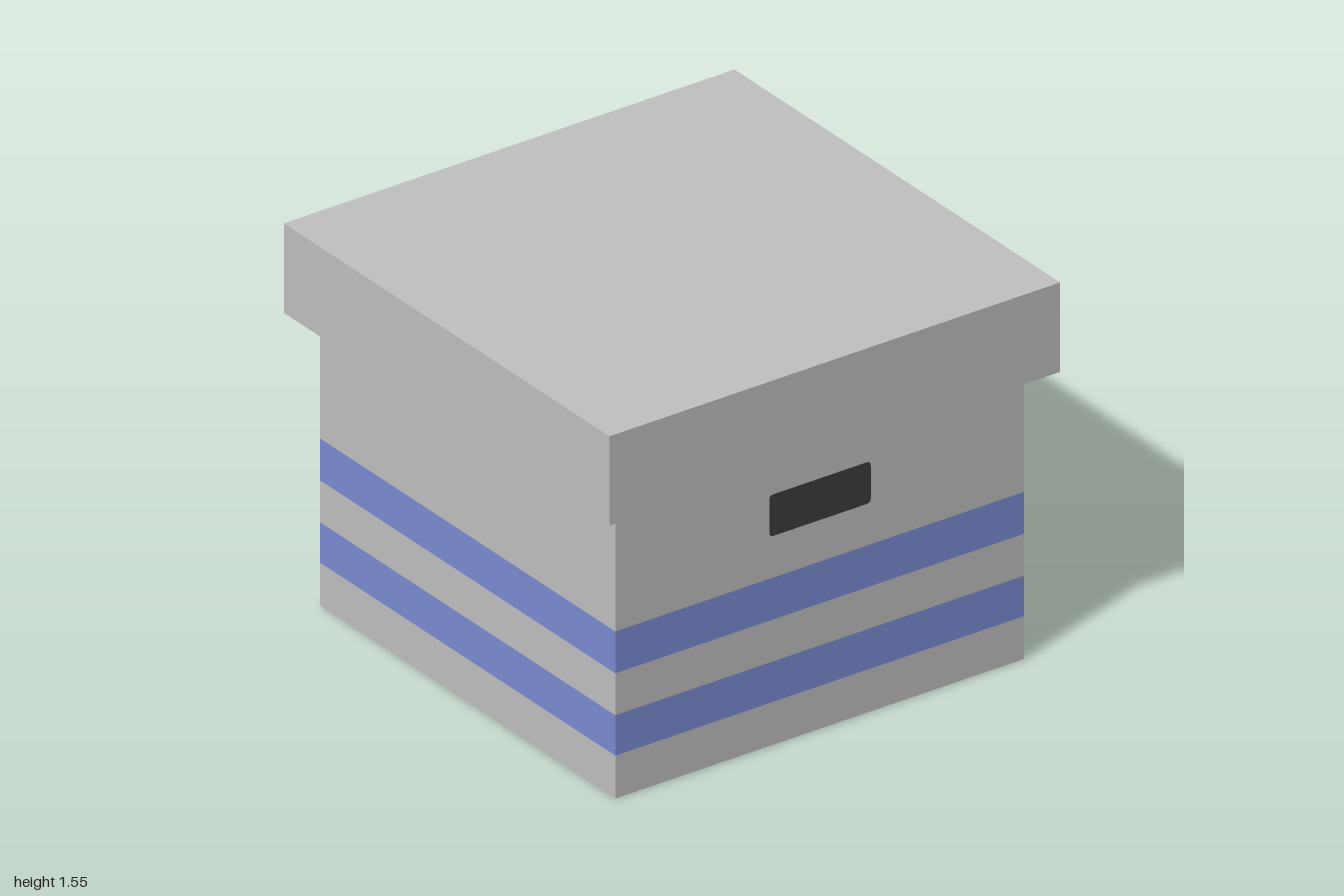
import * as THREE from 'three';

export function createModel() {
  const model = new THREE.Group();
  model.name = 'storageBox';

  const paint = (name, color) => {
    const m = new THREE.MeshStandardMaterial({ color });
    m.name = name;
    return m;
  };
  const grey = paint('light grey card', 0xc0c0c0);
  const blue = paint('blue stripe', 0x7a8cd2);
  const black = paint('dark handle', 0x3c3c3c);

  const HALF = 0.907, BODY_TOP = 1.185, TOP = 1.55, LIFT = 0.002;

  const add = (name, geometry, material, parent = model) => {
    const mesh = new THREE.Mesh(geometry, material);
    mesh.name = name;
    parent.add(mesh);
    return mesh;
  };

  // Square slab between two heights
  const slab = (name, half, y0, y1, material) => {
    const mesh = add(name, new THREE.BoxGeometry(half * 2, y1 - y0, half * 2), material);
    mesh.position.y = (y0 + y1) / 2;
  };

  // Flat rectangle with small rounded corners
  const roundedPlate = (x0, y0, x1, y1, r) => {
    const s = new THREE.Shape();
    s.moveTo(x0 + r, y0);
    s.lineTo(x1 - r, y0).quadraticCurveTo(x1, y0, x1, y0 + r);
    s.lineTo(x1, y1 - r).quadraticCurveTo(x1, y1, x1 - r, y1);
    s.lineTo(x0 + r, y1).quadraticCurveTo(x0, y1, x0, y1 - r);
    s.lineTo(x0, y0 + r).quadraticCurveTo(x0, y0, x0 + r, y0);
    return new THREE.ShapeGeometry(s, 4);
  };

  // Body built of stacked bands, alternating card and stripe
  const levels = [LIFT, 0.177, 0.342, 0.513, 0.684, BODY_TOP];
  for (let i = 0; i < levels.length - 1; i++) {
    const stripe = i % 2 === 1;
    slab(stripe ? 'stripeBand' : 'bodyBand', HALF, levels[i], levels[i + 1], stripe ? blue : grey);
  }

  // Overhanging lid
  slab('lid', 1, BODY_TOP, TOP, grey);

  // Hand holes on both sides
  for (const side of [1, -1]) {
    const hole = add('handHole', roundedPlate(-0.225, 0.855, 0.225, 1.025, 0.018), black);
    hole.rotation.y = side * Math.PI / 2;
    hole.position.x = side * (HALF + 0.002);
  }

  // Pattern under the base on an 8 x 8 grid: column, row, width, material
  const base = new THREE.Group();
  base.name = 'basePattern';
  model.add(base);
  const cell = HALF / 4;
  const marks = [
    [0, 2, 1, blue], [1, 1, 6, blue], [7, 2, 1, blue],
    [2, 3, 1, black], [5, 3, 1, black],
    [3, 4, 2, blue],
    [2, 5, 1, blue], [1, 6, 1, blue],
    [5, 5, 1, blue], [6, 6, 1, blue],
  ];
  for (const [col, row, width, material] of marks) {
    const x1 = HALF - col * cell, z0 = -HALF + row * cell;
    const g = roundedPlate(x1 - width * cell, z0, x1, z0 + cell, 0.03);
    g.rotateX(Math.PI / 2); // faces down
    add('baseMark', g, material, base);
  }

  return model;
}
